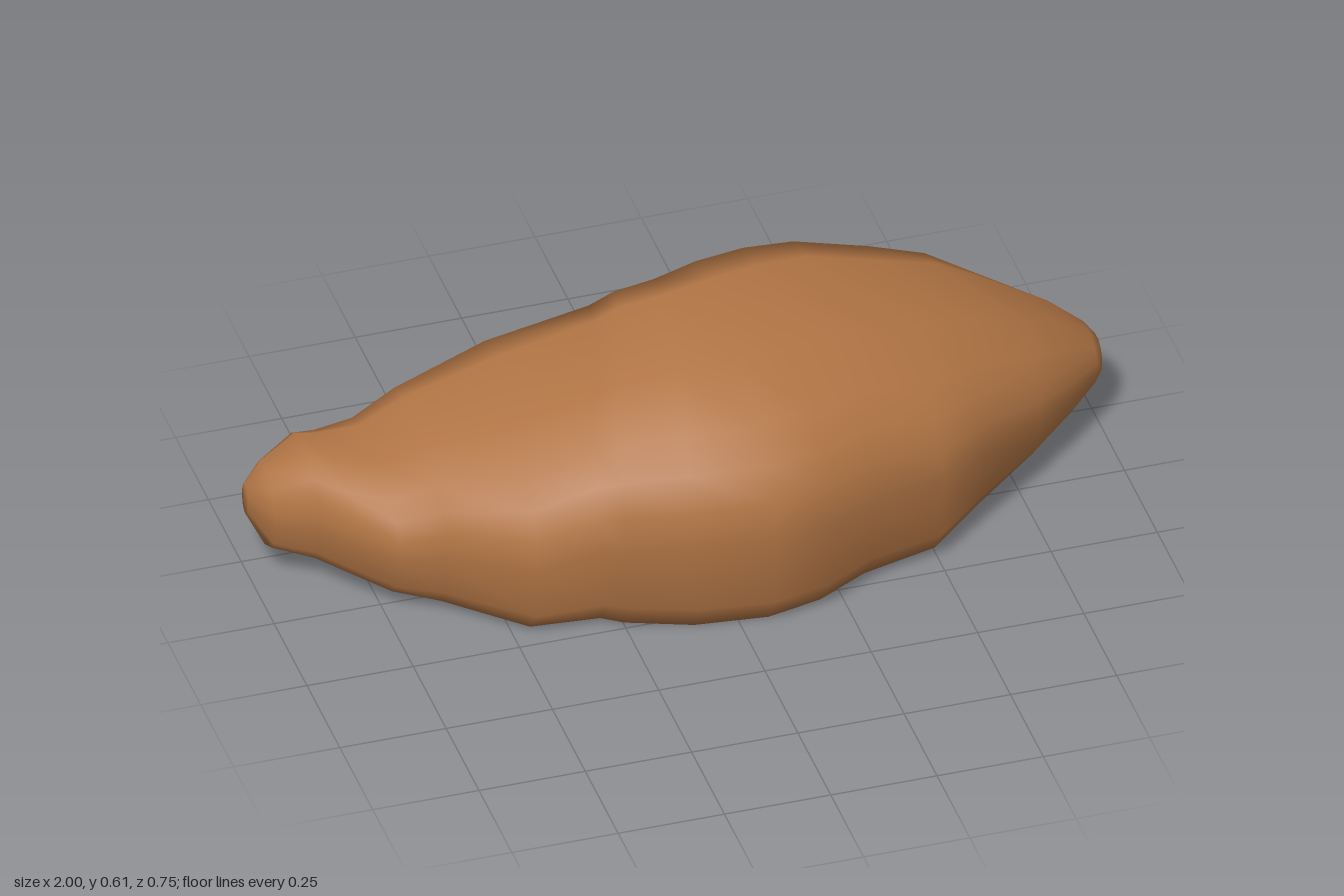
import * as THREE from 'three';

const { lerp, smoothstep } = THREE.MathUtils;

// Cross-section: depth fraction (back to front), height fraction, inward shift where the back is scooped
const SECTION = [
  [1, .43, 0], [.985, .58, 0], [.92, .7, 0], [.82, .8, 0], [.62, .93, 0], [.25, 1, 0], [.08, .94, 0],
  [0, .62, 0], [.01, .48, .06], [.04, .38, .26], [.13, .16, .25], [.27, .04, .06], [.5, .01, 0], [.9, .01, 0], [.98, .14, 0],
];

// Stations along the crescent: x, bottom, top, back, front
const STATIONS = [
  [-1, .16, .24, -.245, -.195],
  [-.96, .08, .3, -.28, -.12],
  [-.87, .05, .345, -.33, -.07],
  [-.82, .05, .345, -.33, 0],
  [-.73, .035, .355, -.335, .085],
  [-.63, .025, .405, -.34, .12],
  [-.46, .015, .485, -.35, .26],
  [-.3, .015, .55, -.33, .275],
  [-.25, .01, .58, -.33, .305],
  [-.1, 0, .61, -.315, .35],
  [.07, 0, .62, -.345, .375],
  [.2, 0, .61, -.375, .345],
  [.32, .01, .598, -.375, .285],
  [.5, .015, .54, -.375, .238],
  [.63, .035, .497, -.375, .145],
  [.79, .05, .405, -.362, .04],
  [.9, .075, .33, -.34, -.06],
  [.98, .12, .26, -.29, -.14],
  [1, .14, .235, -.25, -.17],
];

function ringPoint([x, bottom, top, back, front], [depth, height, shift]) {
  // The hollow under the ridge fades out towards both arms
  const scoop = smoothstep(x, -.3, .1) * (1 - smoothstep(x, .55, .92));
  let u = depth + shift * scoop;
  let v = height;
  // The arms become round towards their tips
  const round = smoothstep(Math.abs(x), .5, .95);
  const angle = Math.atan2(v - .48, u - .5);
  u = lerp(u, .5 + .5 * Math.cos(angle), round);
  v = lerp(v, .5 + .5 * Math.sin(angle), round);
  const z = lerp(back, front, u);
  // The overlapping fold runs diagonally across the top
  const slant = .3 * Math.exp(-(((x + .25) / .2) ** 2)) * (.2 - z) * v;
  return [x + slant, lerp(bottom, top, v), z];
}

function createLoaf() {
  const n = SECTION.length;
  const last = (STATIONS.length - 1) * n;
  const tip = last + n;
  const positions = STATIONS.flatMap((s) => SECTION.flatMap((p) => ringPoint(s, p)));
  positions.push(-1, .2, -.22, 1, .19, -.21);
  const index = [];
  for (let j = 0; j < n; j++) {
    const k = (j + 1) % n;
    for (let ring = 0; ring < last; ring += n) {
      index.push(ring + j, ring + n + j, ring + k, ring + n + j, ring + n + k, ring + k);
    }
    // Close both tips
    index.push(tip, j, k, tip + 1, last + k, last + j);
  }
  const geometry = new THREE.BufferGeometry();
  geometry.setAttribute('position', new THREE.Float32BufferAttribute(positions, 3));
  geometry.setIndex(index);
  geometry.computeVertexNormals();
  return geometry;
}

export function createModel() {
  const group = new THREE.Group();
  group.name = 'croissant';
  const crust = new THREE.MeshStandardMaterial({ color: 0xb07444 });
  crust.name = 'golden brown crust';
  const loaf = new THREE.Mesh(createLoaf(), crust);
  loaf.name = 'pastryBody';
  group.add(loaf);
  return group;
}
